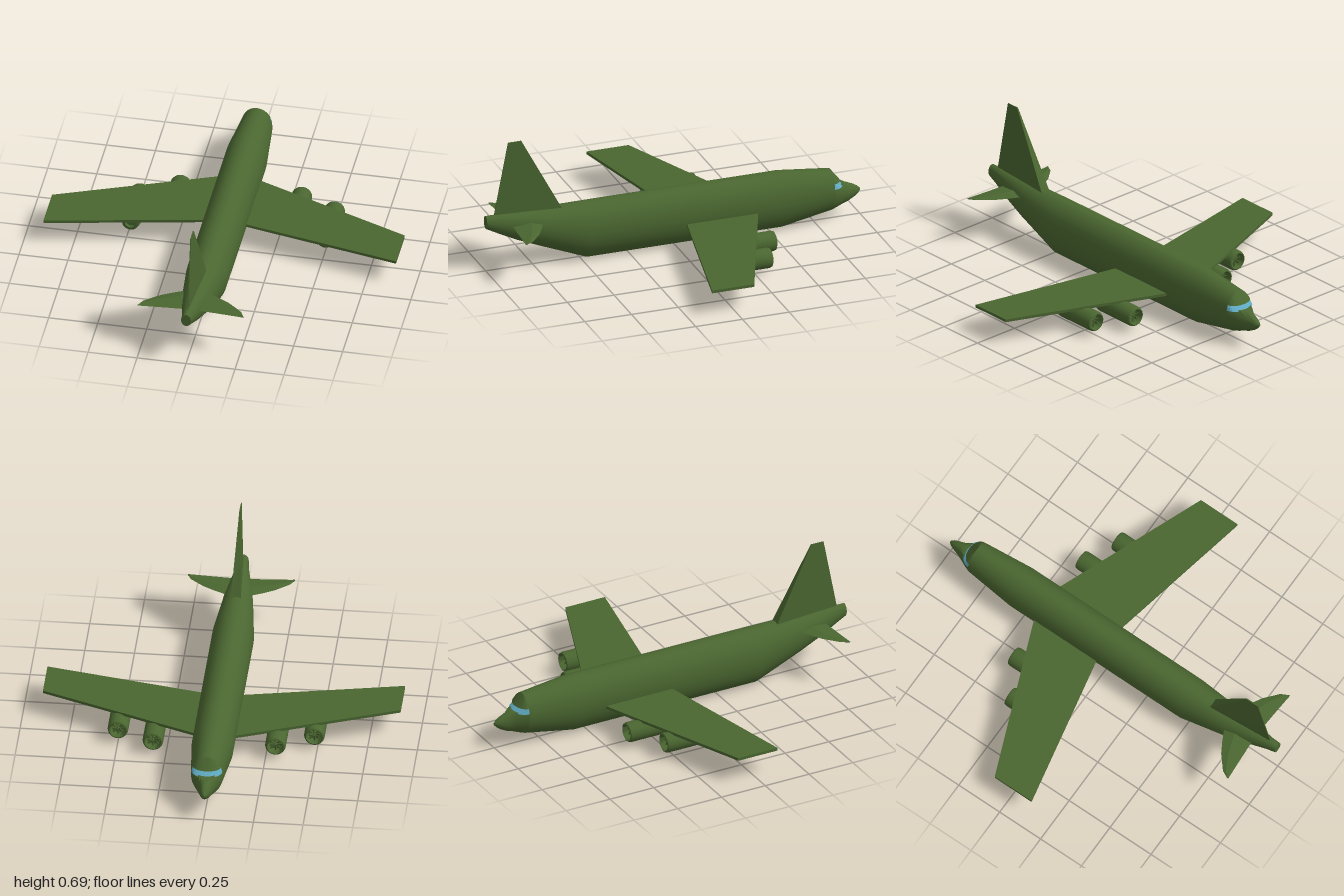
import * as THREE from 'three';
import { toCreasedNormals } from 'three/addons/utils/BufferGeometryUtils.js';

const paint = new THREE.MeshStandardMaterial({ color: 0x4a6630, side: THREE.DoubleSide });
const glass = new THREE.MeshStandardMaterial({ color: 0x5fa8c0, side: THREE.DoubleSide });

// Skin a list of rings (each a closed loop of [x, y, z]) and cap both ends.
function loft(rings, crease = 0.5) {
  const n = rings[0].length, pos = rings.flat(2), idx = [];
  for (let i = 0; i < rings.length - 1; i++) {
    for (let j = 0; j < n; j++) {
      const k = (j + 1) % n, a = i * n + j, b = i * n + k;
      idx.push(a, b, b + n, a, b + n, a + n);
    }
  }
  const last = (rings.length - 1) * n;
  for (let j = 1; j < n - 1; j++) {
    idx.push(0, j + 1, j, last, last + j, last + j + 1);
  }
  const g = new THREE.BufferGeometry();
  g.setAttribute('position', new THREE.Float32BufferAttribute(pos, 3));
  g.setIndex(idx);
  return toCreasedNormals(g, crease);
}

function add(parent, name, geometry, material = paint) {
  const mesh = new THREE.Mesh(geometry, material);
  mesh.name = name;
  parent.add(mesh);
  return mesh;
}

// Elliptical body section; cap flattens its top.
function oval([z, bottom, top, w, cap = 9]) {
  return Array.from({ length: 32 }, (_, j) => {
    const a = (j / 32) * Math.PI * 2;
    const y = (bottom + top) / 2 + ((top - bottom) / 2) * Math.sin(a);
    return [w * Math.cos(a), Math.min(y, cap), z];
  });
}

// Horizontal bow-shaped section at the cockpit, bulging forward by depth.
function bow(y, depth) {
  const w = 0.08 * Math.sqrt(1 - ((y - 0.16) / 0.11) ** 2);
  return Array.from({ length: 17 }, (_, j) => {
    const a = (j / 16) * Math.PI;
    return [w * Math.cos(a), y, -0.84 - depth * Math.sin(a)];
  });
}

// Engine: nacelle, fan, spinner and exhaust, intake towards -z.
function makeEngine(x, z) {
  const engine = new THREE.Group();
  engine.name = 'engine';
  const profile = [
    [0.001, 0.045], [0.038, 0.045], [0.038, 0.008], [0.042, 0], [0.048, 0.003], [0.052, 0.015],
    [0.052, 0.235], [0.042, 0.278], [0.028, 0.28], [0.025, 0.265], [0.001, 0.265],
  ].map(([r, l]) => new THREE.Vector2(r, l));
  const shell = toCreasedNormals(new THREE.LatheGeometry(profile, 28), 0.6);
  add(engine, 'nacelle', shell.rotateX(Math.PI / 2));

  const spinner = new THREE.ConeGeometry(0.012, 0.035, 16).rotateX(-Math.PI / 2);
  add(engine, 'spinner', spinner).position.z = 0.027;
  for (let i = 0; i < 8; i++) {
    const blade = new THREE.BoxGeometry(0.009, 0.03, 0.003).rotateY(0.6).translate(0, 0.023, 0);
    const mesh = add(engine, 'fanBlade', blade);
    mesh.rotation.z = (i / 8) * Math.PI * 2;
    mesh.position.z = 0.028;
  }
  engine.position.set(x, 0.075, z);
  return engine;
}

export function createModel() {
  const plane = new THREE.Group();
  plane.name = 'aeroplane';

  // Fuselage from cockpit to tail: z, bottom, top, half width
  add(plane, 'fuselage', loft([
    [-0.84, 0.05, 0.27, 0.08], [-0.57, 0, 0.3, 0.105], [0.47, 0, 0.3, 0.105],
    [0.72, 0.1, 0.3, 0.075], [0.84, 0.15, 0.3, 0.053], [0.95, 0.205, 0.3, 0.03], [1, 0.232, 0.3, 0.025],
  ].map(oval)));

  // Nose cone, flattened on top below the windscreen
  add(plane, 'nose', loft([
    [-1, 0.128, 0.142, 0.006], [-0.985, 0.112, 0.155, 0.017], [-0.965, 0.098, 0.167, 0.024],
    [-0.93, 0.08, 0.182, 0.035], [-0.9, 0.072, 0.21, 0.05, 0.189],
    [-0.87, 0.06, 0.24, 0.066, 0.192], [-0.84, 0.05, 0.27, 0.08, 0.195],
  ].map(oval)));

  // Brow overhanging the slanted windscreen
  add(plane, 'cockpitBrow', loft([0.213, 0.23, 0.245, 0.258, 0.266, 0.2695]
    .map((y) => bow(y, 0.046 * (0.27 - y) / 0.057))));
  add(plane, 'windscreen', loft([bow(0.186, 0.062), bow(0.213, 0.012)]), glass);

  // Swept wings: x, leading edge, trailing edge
  add(plane, 'wings', loft([[-0.9, -0.1, 0.125], [0, -0.46, -0.06], [0.9, -0.1, 0.125]]
    .map(([x, f, b]) => [[x, 0.12, f], [x, 0.135, f], [x, 0.135, b], [x, 0.12, b]])));

  // Tailplane with a curved leading edge and a lens-shaped section
  const half = [
    [0, 0.7, 0.868, 0.013], [0.07, 0.72, 0.872, 0.012], [0.12, 0.745, 0.875, 0.01],
    [0.18, 0.78, 0.879, 0.008], [0.25, 0.84, 0.884, 0.005], [0.27, 0.88, 0.886, 0.003],
  ];
  const span = [...half.slice(1).reverse().map(([x, ...r]) => [-x, ...r]), ...half];
  add(plane, 'tailplane', loft(span.map(([x, f, b, t]) => {
    const m = f + (b - f) * 0.4;
    return [[x, 0.24, f], [x, 0.24 + t, m], [x, 0.24, b], [x, 0.24 - t, m]];
  }), 0.2));

  // Fin, thick at the front and sharp at the back
  add(plane, 'fin', loft([[0.27, 0.59, 0.96, 0.026], [0.3, 0.605, 0.955, 0.025], [0.685, 0.81, 0.88, 0.003]]
    .map(([y, f, b, w]) => [[-w, y, f], [-0.002, y, b], [0.002, y, b], [w, y, f]])));

  // Four engines under the wings
  for (const [x, z] of [[-0.485, -0.3], [-0.3, -0.41], [0.315, -0.427], [0.5, -0.337]]) {
    plane.add(makeEngine(x, z));
  }
  return plane;
}
